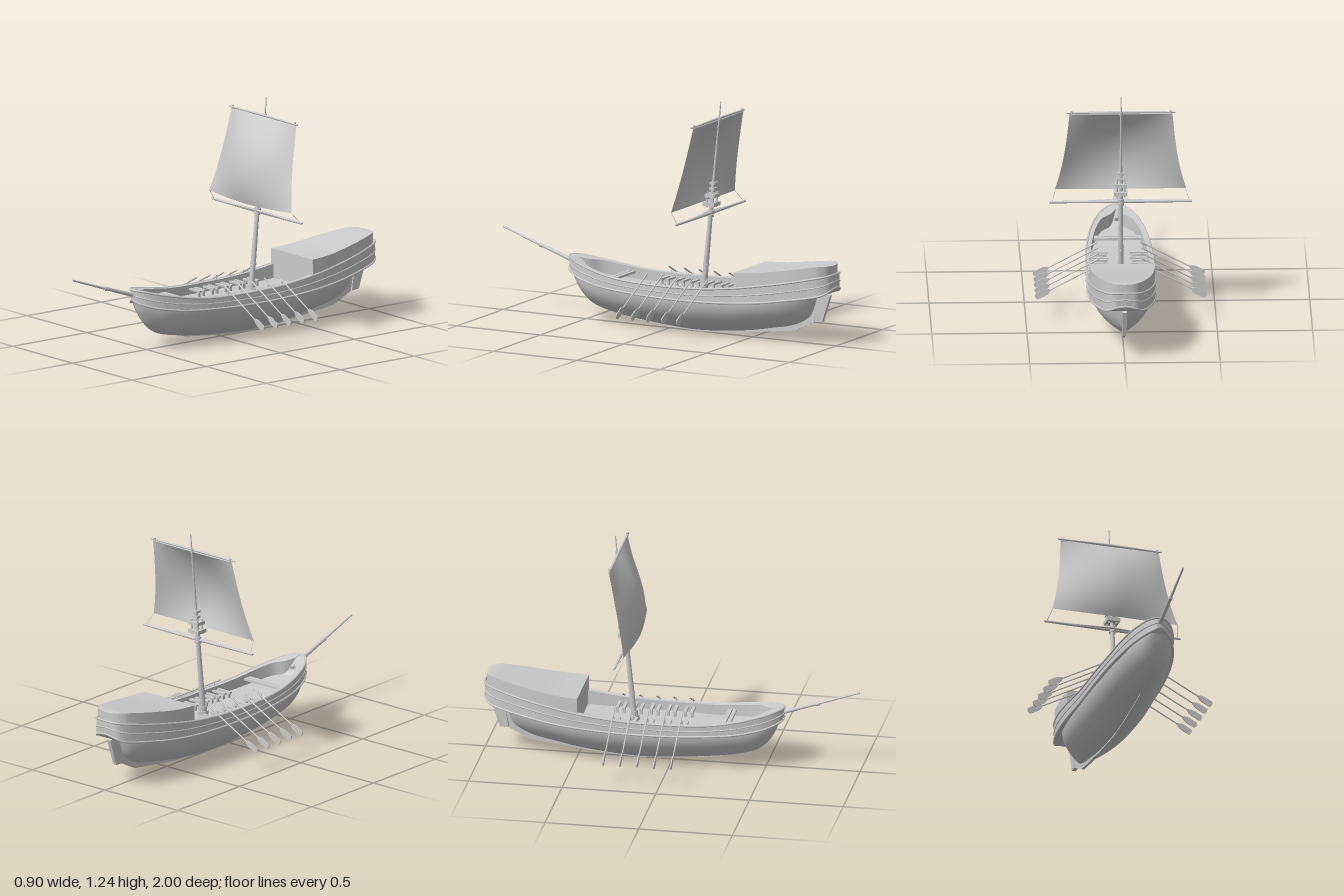
import * as THREE from 'three';
import { toCreasedNormals } from 'three/addons/utils/BufferGeometryUtils.js';

const V = (x, y, z) => new THREE.Vector3(x, y, z);

// Smoothly resample a table of stations, column by column
function resample(rows, n) {
  const columns = rows[0].map((_, c) =>
    new THREE.SplineCurve(rows.map((r, i) => new THREE.Vector2(i, r[c]))));
  return Array.from({ length: n + 1 }, (_, i) => columns.map(c => c.getPoint(i / n).y));
}

// Skin a list of cross-sections running bow to stern, each clockwise seen from the front
function loft(sections, closed, capped) {
  const n = sections[0].length, pos = sections.flat(2), idx = [];
  for (let i = 0; i < sections.length - 1; i++)
    for (let j = 0; j < (closed ? n : n - 1); j++) {
      const k = (j + 1) % n, a = i * n + j, b = i * n + k;
      idx.push(a, b, b + n, a, b + n, a + n);
    }
  if (capped) {
    const last = (sections.length - 1) * n;
    for (let j = 1; j < n - 1; j++) idx.push(0, j + 1, j, last, last + j, last + j + 1);
  }
  const g = new THREE.BufferGeometry();
  g.setAttribute('position', new THREE.Float32BufferAttribute(pos, 3));
  g.setIndex(idx);
  return toCreasedNormals(g, 0.6);
}

// Extrude an outline given in (z, y) to a thickness centred on x = 0
function sidePlate(points, thickness) {
  const shape = new THREE.Shape(points.map(p => new THREE.Vector2(...p)));
  return new THREE.ExtrudeGeometry(shape, { depth: thickness, bevelEnabled: false })
    .translate(0, 0, -thickness / 2).rotateY(-Math.PI / 2);
}

export function createModel() {
  const ship = new THREE.Group();
  ship.name = 'sailingShip';
  const mat = new THREE.MeshStandardMaterial({ color: 0xcccccc, side: THREE.DoubleSide });
  const add = (name, geometry, parent = ship) => {
    const m = new THREE.Mesh(geometry, mat);
    m.name = name;
    parent.add(m);
    return m;
  };
  const rod = (name, a, b, r0, r1, parent = ship, sides = 10) => {
    const m = add(name, new THREE.CylinderGeometry(r1, r0, a.distanceTo(b), sides), parent);
    m.position.copy(a).lerp(b, 0.5);
    m.quaternion.setFromUnitVectors(V(0, 1, 0), b.clone().sub(a).normalize());
    return m;
  };
  const box = (name, w, h, d, x, y, z, parent = ship) => {
    const m = add(name, new THREE.BoxGeometry(w, h, d), parent);
    m.position.set(x, y, z);
    return m;
  };

  // Lower hull: wale z, half width, wale y, keel z, keel y
  const hull = resample([
    [0.575, 0.002, 0.27, 0.565, 0.25], [0.56, 0.045, 0.26, 0.55, 0.2], [0.5, 0.085, 0.245, 0.5, 0.125],
    [0.42, 0.115, 0.23, 0.42, 0.075], [0.25, 0.145, 0.22, 0.25, 0.04], [0, 0.165, 0.21, 0, 0.015],
    [-0.2, 0.17, 0.21, -0.2, 0.008], [-0.45, 0.165, 0.22, -0.45, 0.03], [-0.65, 0.145, 0.24, -0.62, 0.06],
    [-0.78, 0.11, 0.262, -0.74, 0.085], [-0.86, 0.06, 0.275, -0.82, 0.12], [-0.9, 0.002, 0.28, -0.87, 0.16],
  ], 48);
  add('hull', loft(hull.map(([zw, w, yw, zk, yk]) => Array.from({ length: 25 }, (_, j) => {
    const a = j / 24 * Math.PI, s = Math.sin(a), c = Math.cos(a);
    return [Math.sign(c) * w * Math.abs(c) ** 1.4, yw + (yk - yw) * s, zw + (zk - zw) * s];
  })), false));

  // Keel and rudder
  add('keel', sidePlate([[0.4, 0.09], [0.25, 0.035], [0, 0.008], [-0.2, 0], [-0.45, 0.02],
    [-0.76, 0.06], [-0.87, 0.115], [-0.9, 0.27], [-0.84, 0.27], [-0.7, 0.12], [-0.2, 0.03], [0.2, 0.06]], 0.014));
  add('rudder', sidePlate([[-0.9, 0.28], [-0.97, 0.268], [-0.922, 0.122], [-0.875, 0.118]], 0.022));

  // Upper planking with rail and deck: z, half width, inner half width, bottom y, rail y, deck y
  const band = resample([
    [0.597, 0.002, 0.0005, 0.28, 0.335, 0.333], [0.585, 0.03, 0.001, 0.265, 0.335, 0.333],
    [0.55, 0.065, 0.002, 0.25, 0.328, 0.325], [0.5, 0.095, 0.03, 0.235, 0.315, 0.25],
    [0.45, 0.115, 0.08, 0.225, 0.305, 0.235], [0.35, 0.142, 0.115, 0.21, 0.285, 0.22],
    [0.2, 0.163, 0.138, 0.2, 0.265, 0.21], [0, 0.175, 0.152, 0.192, 0.26, 0.21],
    [-0.25, 0.178, 0.155, 0.192, 0.265, 0.21], [-0.48, 0.178, 0.155, 0.205, 0.29, 0.215],
    [-0.65, 0.165, 0.14, 0.222, 0.318, 0.25], [-0.8, 0.14, 0.115, 0.245, 0.345, 0.3],
    [-0.92, 0.108, 0.08, 0.265, 0.37, 0.33], [-0.97, 0.083, 0.05, 0.28, 0.38, 0.35],
    [-0.993, 0.05, 0.02, 0.3, 0.385, 0.36], [-0.998, 0.002, 0.001, 0.31, 0.387, 0.38],
  ], 60);
  add('bulwarkAndDeck', loft(band.map(([z, w, wi, yb, yt, dk]) => {
    const i = Math.max(wi, 0.0005);
    return [[w, yt, z], [w, yb, z], [-w, yb, z], [-w, yt, z], [-i, yt, z], [-i, dk, z], [i, dk, z], [i, yt, z]];
  }), true, true));

  // Mouldings running round the hull
  [[0.03, 0.006], [0.5, 0.004], [0.97, 0.006]].forEach(([f, r]) => {
    const side = s => band.map(([z, w, , yb, yt]) => V(s * w, yb + (yt - yb) * f, z));
    const path = new THREE.CatmullRomCurve3([...side(1), ...side(-1).reverse()], true);
    add('moulding', new THREE.TubeGeometry(path, 160, r, 6, true));
  });

  // Stern cabin: z, half width, bottom y, roof y
  const cabin = resample([
    [-0.48, 0.174, 0.208, 0.372], [-0.62, 0.165, 0.26, 0.382], [-0.8, 0.138, 0.3, 0.41],
    [-0.92, 0.105, 0.32, 0.43], [-0.96, 0.08, 0.33, 0.433], [-0.982, 0.045, 0.34, 0.431], [-0.988, 0.002, 0.34, 0.43],
  ], 28);
  add('sternCabin', loft(cabin.map(([z, w, yb, yt]) =>
    [[w, yt, z], [w * 1.01, yb, z], [-w * 1.01, yb, z], [-w, yt, z]]), true, true));

  // Planks across the bow
  [0.285, 0.31].forEach(z => box('bowThwart', 0.25, 0.012, 0.02, 0, 0.25, z));

  // Bowsprit
  rod('bowsprit', V(0, 0.28, 0.51), V(0, 0.37, 0.775), 0.012, 0.009);
  rod('bowspritTip', V(0, 0.36, 0.75), V(0, 0.446, 0.998), 0.007, 0.005);
  rod('bowspritRing', V(0, 0.365, 0.765), V(0, 0.371, 0.783), 0.011, 0.011);

  // Raked mast with collars
  const mastAt = y => V(0, y, -0.21 - 0.1 * (y - 0.27));
  const mastPart = (name, y0, y1, r0, r1 = r0) => rod(name, mastAt(y0), mastAt(y1), r0, r1, ship, 14);
  mastPart('lowerMast', 0.2, 0.8, 0.016, 0.01);
  mastPart('upperMast', 0.78, 1.24, 0.008, 0.003);
  [[0.2, 0.235, 0.028], [0.235, 0.26, 0.022], [0.355, 0.365, 0.017], [0.62, 0.632, 0.018],
    [0.642, 0.655, 0.018], [1.135, 1.155, 0.01]].forEach(([a, b, r]) => mastPart('mastCollar', a, b, r));

  // Blocks and posts where the masts overlap
  [[0.69, 0.07, 0.02, 0.07], [0.735, 0.06, 0.018, 0.06], [0.77, 0.035, 0.012, 0.03], [0.8, 0.035, 0.012, 0.03]]
    .forEach(([y, w, h, d]) => box('mastTrestle', w, h, d, 0, y, mastAt(y).z));
  for (const s of [-1, 1])
    for (const d of [-0.018, 0.018])
      rod('trestlePost', mastAt(0.67).add(V(s * 0.02, 0, d)), mastAt(0.755).add(V(s * 0.02, 0, d)), 0.005, 0.005);

  // Yards and sheet ropes, mirrored
  for (const s of [-1, 1]) {
    rod('upperYard', V(0, 1.148, -0.288), V(s * 0.285, 1.146, -0.288), 0.007, 0.004);
    rod('upperYardBatten', V(0, 1.14, -0.296), V(s * 0.265, 1.14, -0.294), 0.004, 0.003);
    rod('lowerYard', V(0, 0.638, -0.245), V(s * 0.375, 0.638, -0.245), 0.009, 0.006);
    rod('lowerYardBatten', V(0, 0.645, -0.235), V(s * 0.2, 0.64, -0.24), 0.006, 0.003);
    rod('sheetRope', V(s * 0.342, 0.695, -0.2), V(s * 0.36, 0.64, -0.245), 0.0015, 0.0015, ship, 5);
    rod('yardLashing', V(s * 0.26, 1.135, -0.291), V(s * 0.26, 1.157, -0.291), 0.006, 0.006);
  }

  // Billowing sail
  const sail = new THREE.PlaneGeometry(2, 1, 24, 20), p = sail.attributes.position;
  for (let i = 0; i < p.count; i++) {
    const s = p.getX(i), v = 0.5 - p.getY(i);
    const bulge = (0.025 * v + 0.28 * v * (1 - v)) * (1 - Math.abs(s) ** 1.6);
    p.setXYZ(i, s * (0.27 + 0.04 * v + 0.035 * v ** 3), 1.145 - 0.46 * v + 0.01 * s * s * v,
      -0.293 + 0.093 * v + bulge);
  }
  sail.computeVertexNormals();
  add('sail', sail);

  // Oars with rowing benches, five a side
  const blade = new THREE.Shape();
  blade.moveTo(0.29, -0.004);
  blade.quadraticCurveTo(0.31, -0.017, 0.33, -0.017);
  blade.lineTo(0.372, -0.016);
  blade.quadraticCurveTo(0.386, 0, 0.372, 0.016);
  blade.lineTo(0.33, 0.017);
  blade.quadraticCurveTo(0.31, 0.017, 0.29, 0.004);
  const bladeGeo = new THREE.ExtrudeGeometry(blade, { depth: 0.005, bevelEnabled: false }).translate(0, 0, -0.0025);
  for (const s of [-1, 1])
    for (let k = 0; k < 5; k++) {
      const z = 0.07 - 0.0903 * k;
      const station = new THREE.Group();
      station.name = 'rowingStation';
      station.scale.x = s;
      station.position.z = z;
      ship.add(station);
      const oar = new THREE.Group();
      oar.name = 'oar';
      oar.position.set(0.115, 0.304, 0);
      oar.rotation.z = -0.49;
      station.add(oar);
      rod('oarShaft', V(0, 0, 0), V(0.3, 0, 0), 0.0045, 0.0035, oar, 8);
      add('oarBlade', bladeGeo, oar);
      [[-0.018, 0.065], [0.018, 0.057]].forEach(([dz, x]) => {
        box('bench', 0.09, 0.01, 0.016, x + 0.045, 0.24, dz, station);
        box('benchLeg', 0.01, 0.03, 0.014, x + 0.015, 0.222, dz, station);
      });
      rod('tholePin', V(0.162, 0.25, 0.008), V(0.162, 0.285, 0.008), 0.002, 0.002, station, 6);
    }
  return ship;
}
